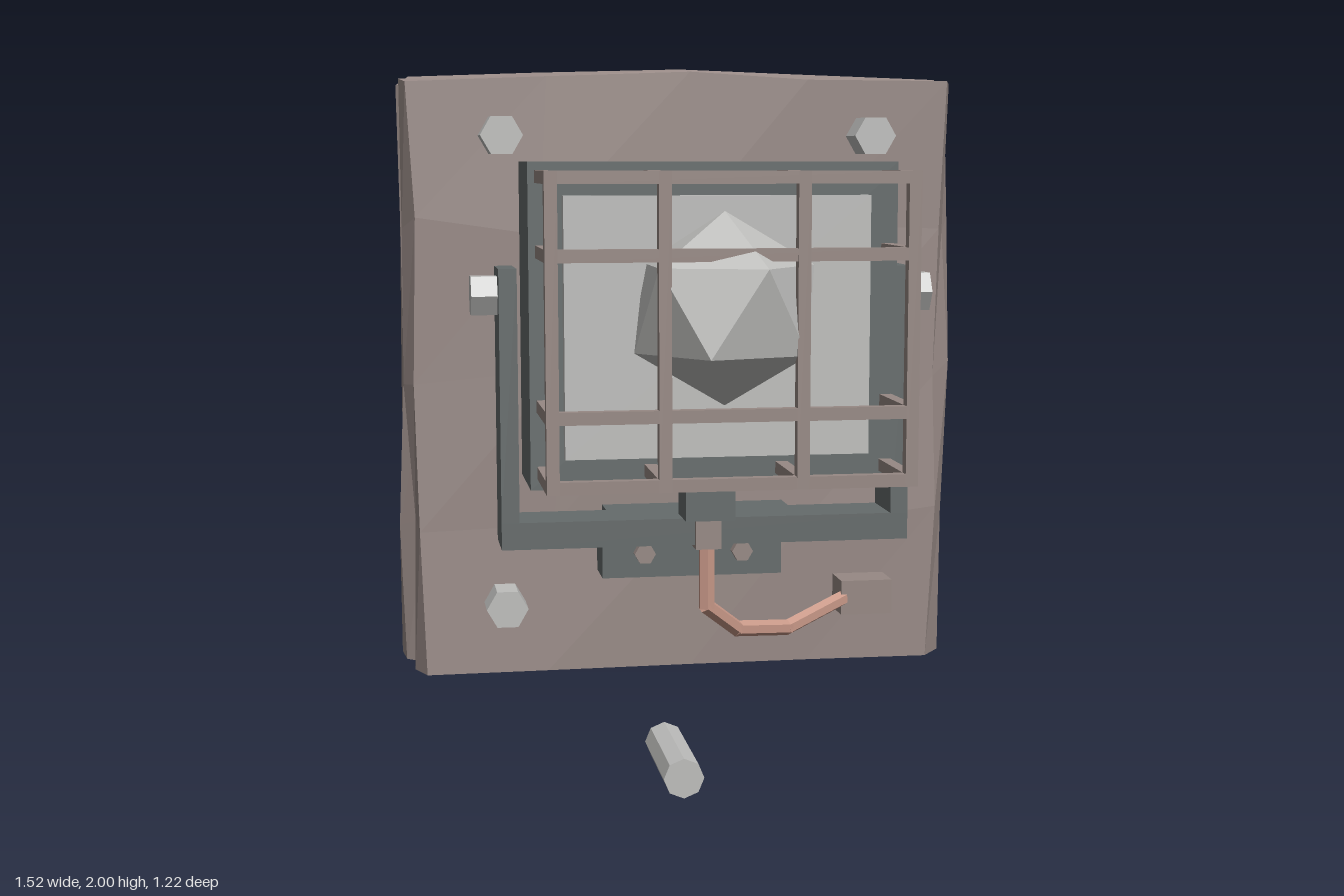
import * as THREE from 'three';

const mat = (name, color) => {
  const m = new THREE.MeshStandardMaterial({ color });
  m.name = name;
  return m;
};

export function createModel() {
  const group = new THREE.Group();
  const stone = mat('brown stone', 0x998b87);
  const cageMat = mat('brown metal', 0x978984);
  const metal = mat('dark metal', 0x656b6b);
  const light = mat('pale grey', 0xbebebc);
  const copper = mat('copper', 0xc89888);

  const add = (name, geo, material, x = 0, y = 0, z = 0) => {
    const m = new THREE.Mesh(geo, material);
    m.name = name;
    m.position.set(x, y, z);
    group.add(m);
    return m;
  };
  // Box given by its minimum and maximum on each axis
  const box = (name, material, x0, x1, y0, y1, z0, z1) =>
    add(name, new THREE.BoxGeometry(x1 - x0, y1 - y0, z1 - z0), material,
      (x0 + x1) / 2, (y0 + y1) / 2, (z0 + z1) / 2);
  // Flat-sided prism along z, one corner pointing sideways
  const prismZ = (name, material, r, sides, x, y, z0, z1) => {
    const g = new THREE.CylinderGeometry(r, r, z1 - z0, sides).toNonIndexed();
    g.rotateY(Math.PI / 2).rotateX(Math.PI / 2).computeVertexNormals();
    return add(name, g, material, x, y, (z0 + z1) / 2);
  };

  // Rough wall slab: side profiles from back to front, at the base and at the top
  const zs = [-0.484, -0.40, -0.34, -0.27, -0.207];
  const leftBase = [0.732, 0.755, 0.745, 0.73, 0.675], leftTop = [0.755, 0.69, 0.745, 0.735, 0.71];
  const rightBase = [0.76, 0.75, 0.70, 0.73, 0.70], rightTop = [0.715, 0.75, 0.68, 0.745, 0.73];
  const slab = new THREE.BoxGeometry(2, 4, 4, 4, 4, 4);
  const p = slab.attributes.position;
  for (let i = 0; i < p.count; i++) {
    const u = p.getX(i), row = Math.round(p.getY(i) + 2), col = Math.round(p.getZ(i) + 2);
    const n = Math.sin(u * 5.3 + row * 2.1 + col * 1.7);
    const swell = Math.sin(u * 2.4 + row * 1.9 + col);
    const [base, top] = u > 0 ? [leftBase, leftTop] : [rightBase, rightTop];
    let x = u * THREE.MathUtils.lerp(base[col], top[col], row / 4);
    if (Math.abs(u) < 0.9) x += 0.03 * n;
    else if (row > 0 && row < 4) x += 0.012 * n;
    let y = 0.387 + row * 0.398;
    if (row === 4) y += 0.012 * Math.cos(u * 3) + (col === 0 ? 0.01 : -0.01 + 0.006 * n);
    else if (row > 0) y += 0.025 * n;
    p.setXYZ(i, x, y, zs[col] + (col === 0 || col === 4 ? 0.007 * swell : 0.01 * n));
  }
  const slabFlat = slab.toNonIndexed();
  slabFlat.computeVertexNormals();
  add('wallSlab', slabFlat, stone);

  // Wall bolts and the loose pin lying below
  for (const [x, y] of [[-0.49, 1.817], [0.49, 1.817], [-0.49, 0.581]])
    prismZ('wallBolt', light, 0.055, 6, x, y, -0.22, -0.1);
  prismZ('loosePin', light, 0.057, 8, 0, 0.057, -0.61, -0.23);

  // Wall mount with small screws
  box('mountPlate', metal, -0.24, 0.24, 0.66, 0.79, -0.21, -0.085);
  for (const s of [-1, 1])
    prismZ('mountScrew', cageMat, 0.028, 6, s * 0.13, 0.727, -0.09, -0.055);

  // U-shaped bracket
  box('bracketNeck', metal, -0.24, 0.24, 0.79, 0.858, -0.085, 0);
  box('bracketBase', metal, -0.52, 0.52, 0.79, 0.858, 0, 0.16);
  for (const s of [-1, 1]) {
    box('bracketArm', metal, s * 0.4975 - 0.0225, s * 0.4975 + 0.0225, 0.858, 1.49, 0, 0.16);
    const g = new THREE.CylinderGeometry(0.055, 0.055, 0.11, 6).toNonIndexed();
    g.rotateZ(Math.PI / 2).computeVertexNormals();
    add('pivotBolt', g, light, s * 0.53, 1.421, 0.078);
  }

  // Lamp housing, front lip and glass
  box('housing', metal, -0.455, 0.455, 0.957, 1.75, -0.005, 0.268);
  box('rearHousing', metal, -0.39, 0.39, 1.018, 1.685, -0.153, 0);
  box('frontLip', metal, -0.41, 0.41, 0.997, 1.7, 0.268, 0.285);
  box('glassPanel', light, -0.375, 0.375, 1.037, 1.67, 0.28, 0.32);
  box('cableOutlet', metal, -0.063, 0.063, 0.858, 0.957, 0.08, 0.208);

  // Faceted bulb standing on one corner, slightly wider than tall
  const bulb = new THREE.IcosahedronGeometry(0.231, 0);
  bulb.rotateZ(-Math.atan(2 / (1 + Math.sqrt(5)))).scale(1.05, 1, 1.05);
  bulb.computeVertexNormals();
  add('bulb', bulb, light, 0, 1.404, 0.4);

  // Protective cage: front grid and struts back to the housing
  const t = 0.015, zBack = 0.285, zFront = 0.545;
  const xs = [-0.425, -0.163, 0.163, 0.425], ys = [1.003, 1.165, 1.537, 1.715];
  for (const x of xs) {
    box('cageUpright', cageMat, x - t, x + t, 0.988, 1.73, zFront - 2 * t, zFront);
    for (const y of [ys[0], ys[3]])
      box('cageStrut', cageMat, x - t, x + t, y - t, y + t, zBack, zFront - t);
  }
  for (const y of ys) {
    box('cageCrossbar', cageMat, -0.44, 0.44, y - t, y + t, zFront - 2 * t + 0.001, zFront - 0.001);
    if (y === ys[1] || y === ys[2])
      for (const x of [xs[0], xs[3]])
        box('cageStrut', cageMat, x - t, x + t, y - t, y + t, zBack, zFront - t);
  }

  // Cable with its plug and wall box
  box('cablePlug', cageMat, -0.033, 0.033, 0.78, 0.858, 0.11, 0.177);
  box('cableBox', cageMat, 0.41, 0.55, 0.535, 0.628, -0.21, -0.1);
  const path = [[0, 0.85, 0.143], [0, 0.627, 0.143], [0.09, 0.552, 0.085],
    [0.24, 0.53, 0], [0.44, 0.585, -0.13]].map(a => new THREE.Vector3(...a));
  for (let i = 0; i < path.length - 1; i++) {
    const dir = path[i + 1].clone().sub(path[i]);
    const g = new THREE.CylinderGeometry(0.021, 0.021, dir.length() + 0.012, 6).toNonIndexed();
    g.computeVertexNormals();
    const m = add('cable', g, copper);
    m.position.copy(path[i]).addScaledVector(dir, 0.5);
    m.quaternion.setFromUnitVectors(new THREE.Vector3(0, 1, 0), dir.normalize());
  }
  return group;
}
